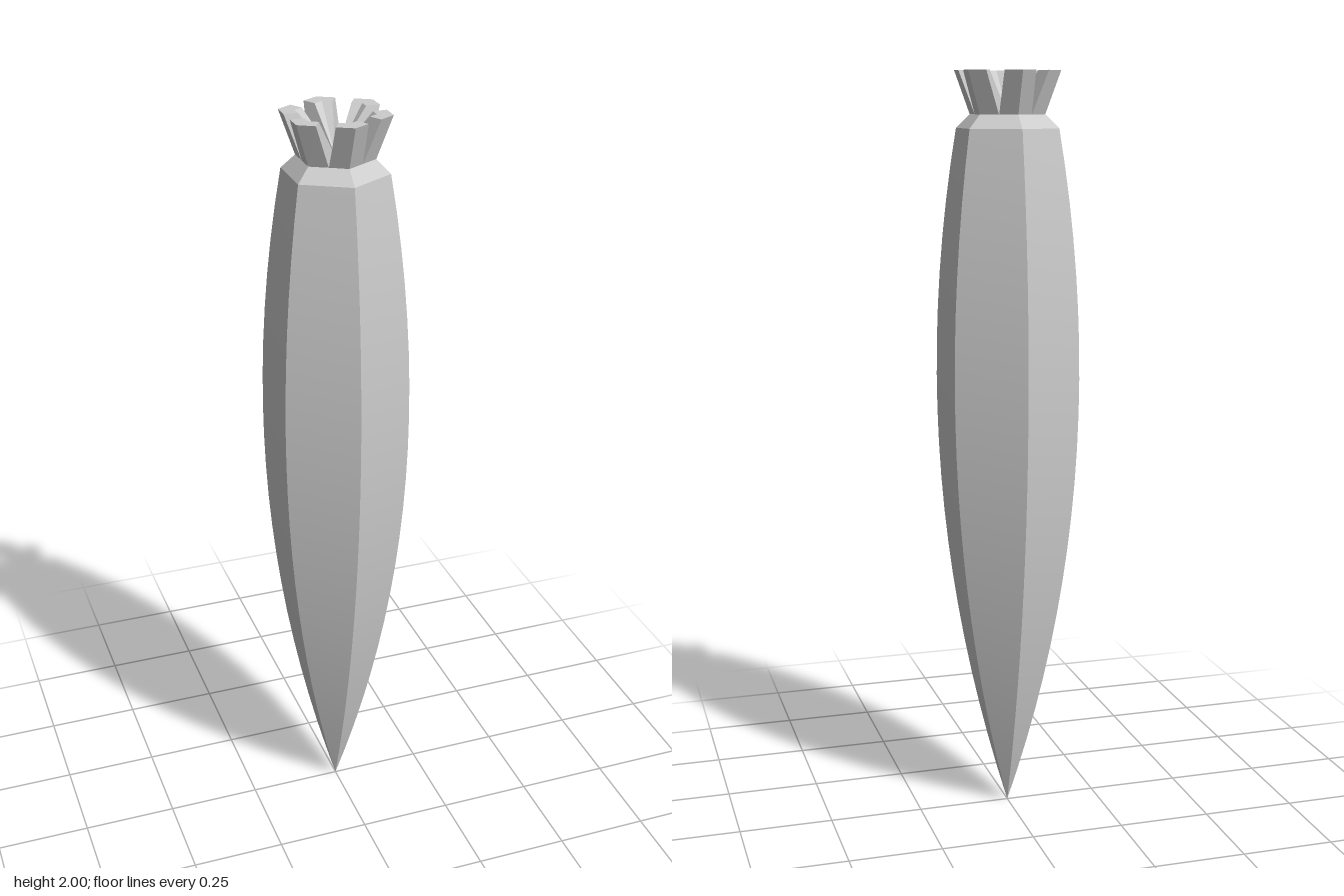
import * as THREE from 'three';
import { toCreasedNormals } from 'three/addons/utils/BufferGeometryUtils.js';

const SIDES = 6;
const SHOULDER = 1.855; // height of the widest ring of the bevel
const NECK = 1.89; // height where the stalks begin
const TOP = 2;

// Tapered six-sided root: parabolic profile, pointed below, bevelled above
function createRoot() {
  const profile = [];
  const steps = 20;
  for (let i = 0; i <= steps; i++) {
    const y = (SHOULDER * i) / steps;
    profile.push(new THREE.Vector2(Math.max(0, 0.195 - 0.1354 * (y - 1.2) ** 2), y));
  }
  profile.push(new THREE.Vector2(0.1, NECK));
  const geometry = new THREE.LatheGeometry(profile, SIDES);
  return toCreasedNormals(geometry, 0.4);
}

// One stalk: a wedge from the centre of the neck, flaring to a chevron-shaped top
function createStalk() {
  const corners = [
    [0, NECK, 0], [-0.043, NECK, 0.075], [0, NECK, 0.1], [0.043, NECK, 0.075],
    [0, TOP, 0.141], [0.041, TOP, 0.118], [0.023, TOP, 0.087],
    [0, TOP, 0.1], [-0.023, TOP, 0.087], [-0.041, TOP, 0.118],
  ];
  const faces = [
    [2, 3, 5, 4], [1, 2, 4, 9], // outer
    [4, 5, 6, 7], [9, 4, 7, 8], // top
    [3, 0, 6, 5], [0, 1, 9, 8], // sides
    [0, 7, 6], [0, 8, 7], // inner
    [0, 3, 2, 1], // base
  ];
  const index = [];
  for (const f of faces) {
    for (let i = 1; i < f.length - 1; i++) index.push(f[0], f[i], f[i + 1]);
  }
  const geometry = new THREE.BufferGeometry();
  geometry.setAttribute('position', new THREE.Float32BufferAttribute(corners.flat(), 3));
  geometry.setIndex(index);
  const flat = geometry.toNonIndexed();
  flat.computeVertexNormals();
  return flat;
}

export function createModel() {
  const group = new THREE.Group();
  group.name = 'carrot';
  const material = new THREE.MeshStandardMaterial({ color: 0xcccccc });

  const root = new THREE.Mesh(createRoot(), material);
  root.name = 'root';
  group.add(root);

  // Crown of stalks, one over each corner of the root
  const crown = new THREE.Group();
  crown.name = 'crown';
  const stalkGeometry = createStalk();
  for (let i = 0; i < SIDES; i++) {
    const stalk = new THREE.Mesh(stalkGeometry, material);
    stalk.name = 'stalk';
    stalk.rotation.y = (i * Math.PI * 2) / SIDES;
    crown.add(stalk);
  }
  group.add(crown);
  return group;
}
